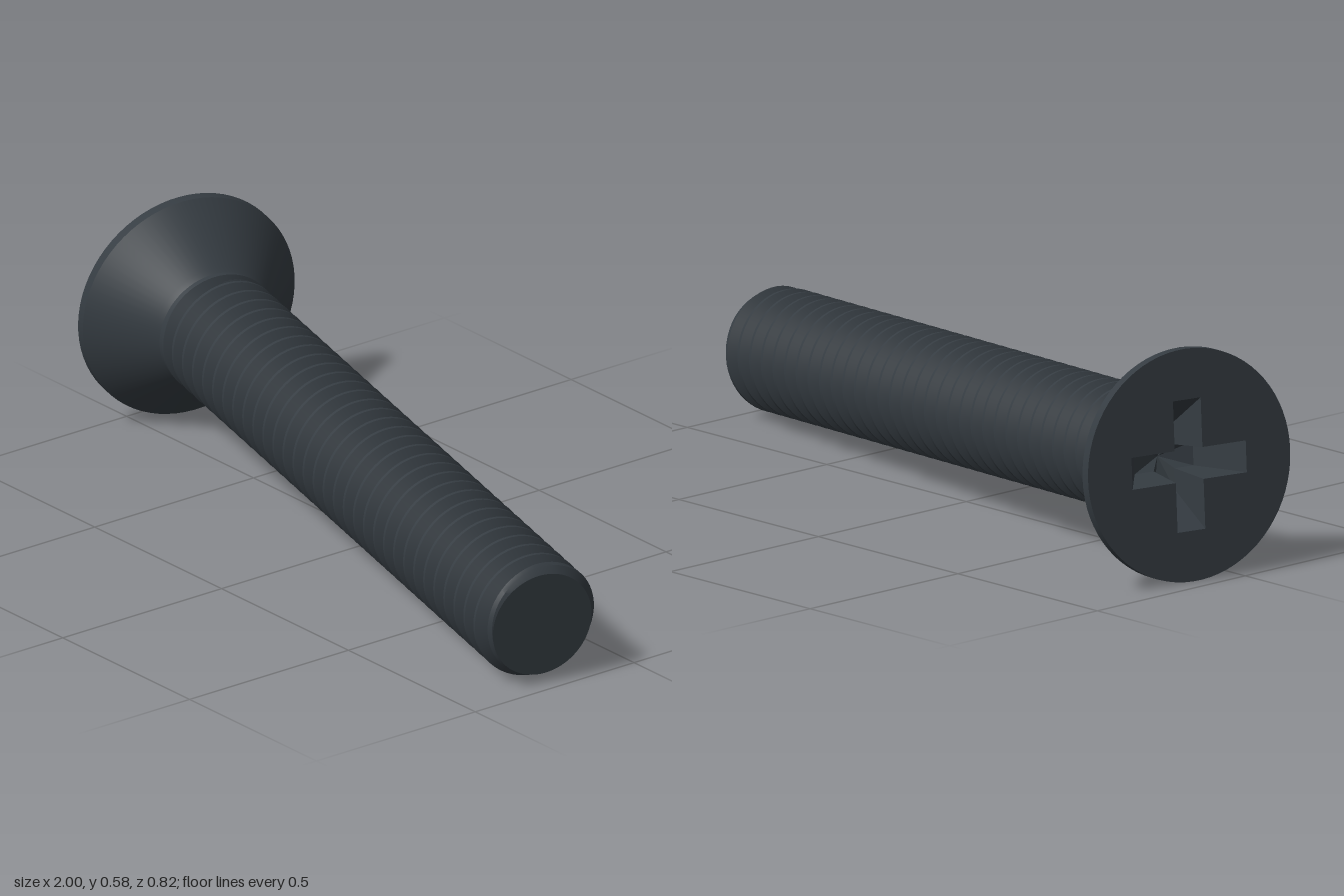
import * as THREE from 'three';
import { toCreasedNormals } from 'three/addons/utils/BufferGeometryUtils.js';

// Dimensions along the screw axis (local +y runs from head face to tip)
const LENGTH = 1.953, HEAD_R = 0.292, CREST_R = 0.157, ROOT_R = 0.127, TIP_R = 0.136;
const PITCH = 0.0548, THREAD_START = 0.19, SEGMENTS = 56;

function buildGeometry(positions, index, crease) {
  const g = new THREE.BufferGeometry();
  g.setAttribute('position', new THREE.Float32BufferAttribute(positions, 3));
  g.setIndex(index);
  return toCreasedNormals(g, crease);
}

function lathe(points) {
  const g = new THREE.LatheGeometry(points.map(([r, y]) => new THREE.Vector2(r, y)), 72);
  return toCreasedNormals(g, 0.4);
}

// Twelve corners of a plus shape with arm length l and half width w
function crossPoints(l, w) {
  const points = [];
  for (let k = 0; k < 4; k++) {
    const c = Math.round(Math.cos(k * Math.PI / 2)), s = Math.round(Math.sin(k * Math.PI / 2));
    for (const [x, y] of [[l, -w], [l, w], [w, w]]) {
      points.push(new THREE.Vector2(x * c - y * s, x * s + y * c));
    }
  }
  return points;
}

// Helical ridge: a trapezoid profile swept around the axis and trimmed at both ends
function threadGeometry() {
  const profile = [[ROOT_R, 0], [ROOT_R, 0.12], [CREST_R, 0.48], [CREST_R, 0.64], [ROOT_R, 1]];
  const turns = Math.ceil((LENGTH - THREAD_START) / PITCH) + 1;
  const count = turns * SEGMENTS, n = profile.length;
  const positions = [], index = [];
  for (let i = 0; i <= count; i++) {
    const angle = (i % SEGMENTS) / SEGMENTS * Math.PI * 2;
    for (const [radius, offset] of profile) {
      const y = THREE.MathUtils.clamp(
        THREE.MathUtils.lerp(THREAD_START - PITCH, LENGTH, 0) + (i / SEGMENTS + offset) * PITCH,
        THREAD_START, LENGTH);
      const r = Math.min(radius, TIP_R + (LENGTH - y) * 0.9);
      positions.push(r * Math.sin(angle), y, r * Math.cos(angle));
    }
  }
  const addTriangle = (...t) => {
    const ys = t.map((v) => positions[v * 3 + 1]);
    if (Math.max(...ys) - Math.min(...ys) > 1e-6) index.push(...t);
  };
  for (let i = 0; i < count; i++) {
    for (let j = 0; j < n - 1; j++) {
      const a = i * n + j, b = a + n;
      addTriangle(a, b, a + 1);
      addTriangle(b, b + 1, a + 1);
    }
  }
  return buildGeometry(positions, index, 0.35);
}

// Cross socket: tapering walls and a shallow pointed floor
function recessGeometry(top, bottom, depth) {
  const positions = [], index = [], n = top.length;
  top.forEach((p) => positions.push(p.x, 0, p.y));
  bottom.forEach((p) => positions.push(p.x, depth, p.y));
  positions.push(0, depth + 0.03, 0);
  for (let i = 0; i < n; i++) {
    const j = (i + 1) % n;
    index.push(i, j, n + i, j, n + j, n + i, n + i, n + j, 2 * n);
  }
  return buildGeometry(positions, index, 0.2);
}

export function createModel() {
  const blackSteel = new THREE.MeshStandardMaterial({ color: 0x353c42, side: THREE.DoubleSide });
  blackSteel.name = 'black steel';

  const screw = new THREE.Group();
  screw.name = 'screw';
  const add = (name, geometry) => {
    const mesh = new THREE.Mesh(geometry, blackSteel);
    mesh.name = name;
    screw.add(mesh);
  };

  // Countersunk head: thin rim, cone and short neck
  add('countersunkHead', lathe([
    [HEAD_R, 0], [HEAD_R, 0.026], [0.165, 0.16], [0.155, 0.173], [0.153, 0.19], [ROOT_R - 0.005, 0.208],
  ]));

  // Flat face with a cross-shaped opening
  const opening = crossPoints(0.165, 0.04);
  const face = new THREE.Shape().absarc(0, 0, HEAD_R, 0, Math.PI * 2);
  face.holes.push(new THREE.Path([...opening].reverse()));
  add('headFace', new THREE.ShapeGeometry(face, 36).rotateX(Math.PI / 2));
  add('crossRecess', recessGeometry(opening, crossPoints(0.085, 0.03), 0.12));

  // Threaded shank and flat tip
  add('thread', threadGeometry());
  add('tip', lathe([[TIP_R, LENGTH], [0, LENGTH]]));

  // Lay the screw down along its slanted axis
  const start = new THREE.Vector3(-0.938, 0.291, -0.131);
  const axis = new THREE.Vector3(0.97, 0.16, 0.265).sub(start).normalize();
  const up = new THREE.Vector3(0, 1, 0).addScaledVector(axis, -axis.y).normalize();
  const side = new THREE.Vector3().crossVectors(up, axis);
  screw.quaternion.setFromRotationMatrix(new THREE.Matrix4().makeBasis(up, axis, side));
  screw.position.copy(start);

  const model = new THREE.Group();
  model.name = 'machineScrew';
  model.add(screw);
  return model;
}
